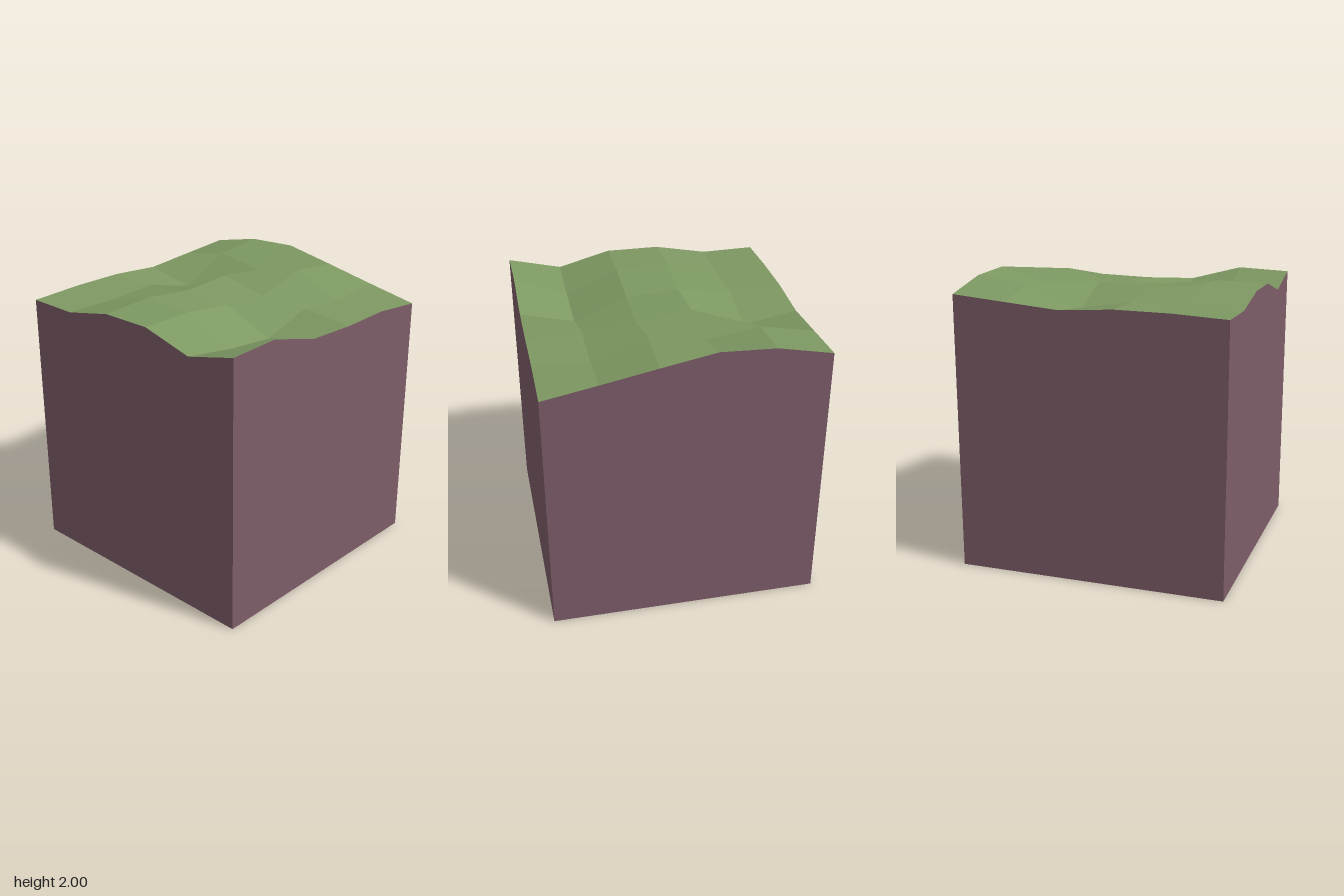
import * as THREE from 'three';

const N = 5, HALF = 0.933, STEP = (2 * HALF) / N;

// Terrain heights: rows run front to back, columns from -x to +x
const HEIGHTS = [
  [1.905, 1.92, 1.82, 1.81, 1.82, 1.787],
  [1.815, 1.76, 1.73, 1.845, 1.815, 1.857],
  [1.913, 1.918, 1.88, 1.855, 1.957, 1.93],
  [1.912, 1.936, 1.9, 1.925, 1.89, 2.0],
  [1.838, 1.838, 1.86, 1.77, 1.947, 1.985],
  [1.843, 1.862, 1.866, 1.842, 1.875, 1.908],
];

const point = (i, k) => new THREE.Vector3(-HALF + i * STEP, HEIGHTS[k][i], HALF - k * STEP);

// Flat quads, each with a single normal shared by both of its triangles
function quadGeometry(quads) {
  const positions = [], normals = [], index = [];
  quads.forEach((corners, q) => {
    const [a, b, c, d] = corners;
    const normal = c.clone().sub(a).cross(d.clone().sub(b)).normalize();
    for (const p of corners) {
      positions.push(p.x, p.y, p.z);
      normals.push(normal.x, normal.y, normal.z);
    }
    const s = q * 4;
    index.push(s, s + 1, s + 2, s, s + 2, s + 3);
  });
  const geometry = new THREE.BufferGeometry();
  geometry.setAttribute('position', new THREE.Float32BufferAttribute(positions, 3));
  geometry.setAttribute('normal', new THREE.Float32BufferAttribute(normals, 3));
  geometry.setIndex(index);
  return geometry;
}

export function createModel() {
  const grass = new THREE.MeshStandardMaterial({ color: 0x7d9862, side: THREE.DoubleSide });
  grass.name = 'grass green';
  const earth = new THREE.MeshStandardMaterial({ color: 0x7d5d69, side: THREE.DoubleSide });
  earth.name = 'earth mauve';

  const group = new THREE.Group();
  group.name = 'terrainBlock';
  const add = (name, quads, material) => {
    const mesh = new THREE.Mesh(quadGeometry(quads), material);
    mesh.name = name;
    group.add(mesh);
  };

  // Uneven grassy top
  const cells = [];
  for (let k = 0; k < N; k++) {
    for (let i = 0; i < N; i++) {
      cells.push([point(i, k), point(i + 1, k), point(i + 1, k + 1), point(i, k + 1)]);
    }
  }
  add('grassTop', cells, grass);

  // Four walls following the rim of the top; the underside is open
  const rims = {
    frontWall: (t) => point(t, 0),
    rightWall: (t) => point(N, t),
    backWall: (t) => point(N - t, N),
    leftWall: (t) => point(0, N - t),
  };
  const ground = (p) => new THREE.Vector3(p.x, 0, p.z);
  for (const [name, rim] of Object.entries(rims)) {
    const strips = [];
    for (let t = 0; t < N; t++) {
      const a = rim(t), b = rim(t + 1);
      strips.push([ground(a), ground(b), b, a]);
    }
    add(name, strips, earth);
  }
  return group;
}
